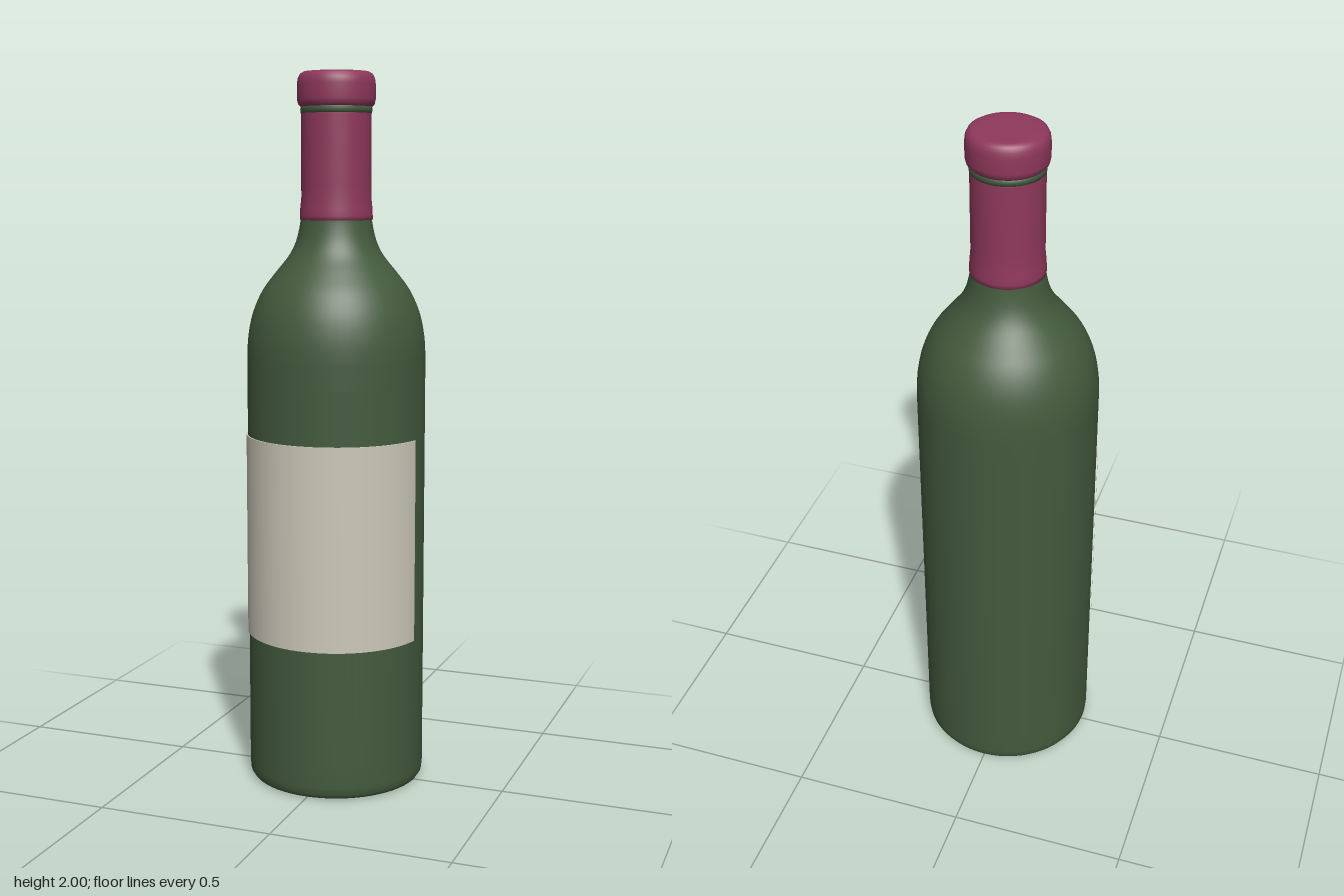
import * as THREE from 'three';

const SEGMENTS = 64;

function material(name, color) {
  const m = new THREE.MeshStandardMaterial({ color });
  m.name = name;
  return m;
}

const vec = ([r, y]) => new THREE.Vector2(r, y);

// Revolve a profile of [radius, height] pairs, listed from bottom to top
function lathe(name, points, mat, start = 0, sweep = Math.PI * 2, segments = SEGMENTS) {
  const mesh = new THREE.Mesh(new THREE.LatheGeometry(points.map(vec), segments, start, sweep), mat);
  mesh.name = name;
  return mesh;
}

export function createModel() {
  const glass = material('green glass', 0x435a3d);
  const foil = material('burgundy foil', 0x8f385b);
  const paper = material('cream paper', 0xccc8b9);
  const bottle = new THREE.Group();
  bottle.name = 'bottle';

  // Glass: flat base with a rounded heel, straight wall, curved shoulder and neck
  const shoulder = new THREE.SplineCurve([
    [0.25, 1.22], [0.246, 1.28], [0.232, 1.345], [0.205, 1.405], [0.168, 1.455],
    [0.132, 1.5], [0.112, 1.54], [0.101, 1.585], [0.097, 1.62],
  ].map(vec)).getPoints(32).map((p) => [p.x, p.y]);
  bottle.add(lathe('glassBody', [
    [0, 0.004], [0.2, 0.004], [0.228, 0.004], [0.241, 0.009], [0.248, 0.02], [0.25, 0.04],
    [0.25, 0.1], [0.25, 1.15], ...shoulder, [0.092, 1.64], [0.092, 1.93],
  ], glass));

  // Narrow glass band showing between sleeve and cap
  bottle.add(lathe('neckRing', [
    [0.09, 1.884], [0.098, 1.888], [0.099, 1.897], [0.098, 1.908], [0.09, 1.91],
  ], glass));

  // Foil sleeve with a slight flare at its lower edge
  bottle.add(lathe('foilSleeve', [
    [0.094, 1.598], [0.101, 1.599], [0.101, 1.61], [0.1, 1.63], [0.097, 1.66],
    [0.097, 1.7], [0.097, 1.885], [0.095, 1.892], [0.09, 1.892],
  ], foil));

  // Rounded foil cap over the lip
  bottle.add(lathe('foilCap', [
    [0.09, 1.904], [0.098, 1.905], [0.105, 1.912], [0.108, 1.925], [0.108, 1.965],
    [0.106, 1.981], [0.1, 1.993], [0.09, 1.999], [0.07, 2], [0, 2],
  ], foil));

  // Paper label wrapped around the front, closed at its edges
  const half = 1.395;
  bottle.add(lathe('label', [
    [0.249, 0.43], [0.254, 0.43], [0.254, 0.43], [0.254, 1], [0.254, 1], [0.249, 1],
  ], paper, -half, half * 2, 32));

  return bottle;
}
